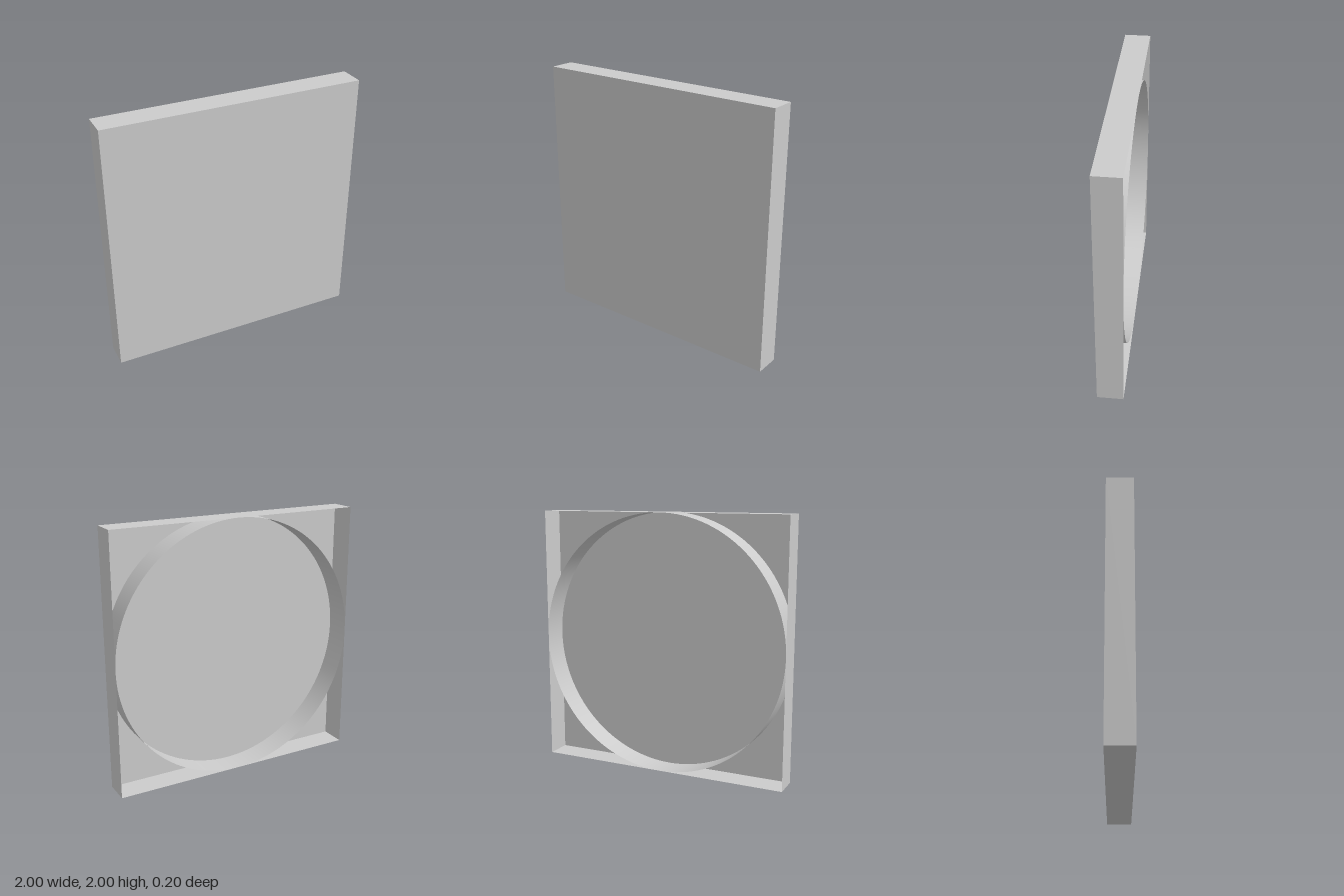
import * as THREE from 'three';

const SIZE = 2;
const DEPTH = 0.2;

export function createModel() {
  const group = new THREE.Group();
  const material = new THREE.MeshStandardMaterial({ color: 0xcccccc, side: THREE.DoubleSide });

  const addPart = (name, geometry) => {
    const mesh = new THREE.Mesh(geometry, material);
    mesh.name = name;
    group.add(mesh);
    return mesh;
  };

  // Square front panel
  addPart('frontPanel', new THREE.PlaneGeometry(SIZE, SIZE)).position.set(0, SIZE / 2, DEPTH / 2);

  // Four thin side walls around the panel, leaving the back open
  ['topWall', 'rightWall', 'bottomWall', 'leftWall'].forEach((name, i) => {
    const wall = new THREE.PlaneGeometry(SIZE, DEPTH);
    wall.rotateX(-Math.PI / 2);
    wall.translate(0, SIZE / 2, 0);
    wall.rotateZ(i * Math.PI / 2);
    addPart(name, wall).position.y = SIZE / 2;
  });

  // Thin round rim behind the panel, touching all four walls
  const rim = new THREE.CylinderGeometry(SIZE / 2, SIZE / 2, DEPTH, 128, 1, true);
  rim.rotateX(Math.PI / 2);
  addPart('roundRim', rim).position.y = SIZE / 2;

  return group;
}
